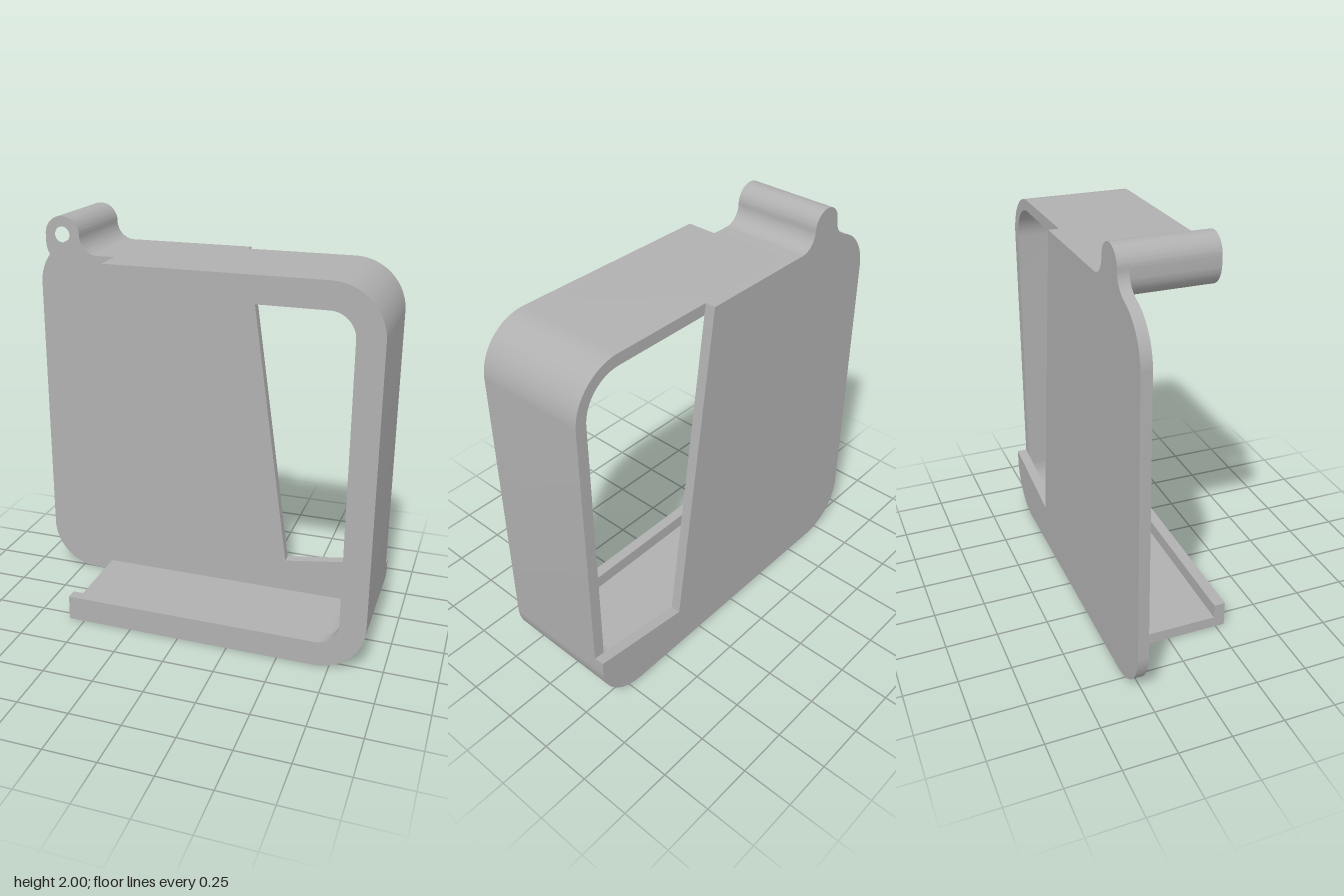
import * as THREE from 'three';
import { toCreasedNormals } from 'three/addons/utils/BufferGeometryUtils.js';

const HALF = 0.915, TOP = 1.83, R = 0.24;    // outer half width, height, corner radius
const CX = HALF - R, CY = TOP - R;           // corner centres
const BACK = -0.295, PLATE = -0.245, LIP = 0.24, FRONT = 0.295;
const KX = -0.595, KY = 1.917, KR = 0.083;   // hinge knuckle centre and radius
const HINGE_END = -0.34, FLOOR_END = -0.58, WALL = 0.055, LIP_WIDTH = 0.125;
const PI = Math.PI;

// Knuckle crown and the fillet running down to the top wall
function traceKnuckle(s) {
  s.absarc(KX, KY, KR, PI, 0, true);
  s.absarc(KX + KR + 0.087, KY, 0.087, PI, 1.5 * PI, false);
}

// C-shaped band, open on the left, with inner edge offset by t
function bandShape(t) {
  const s = new THREE.Shape();
  s.moveTo(HINGE_END, TOP);
  s.lineTo(CX, TOP);
  s.absarc(CX, CY, R, PI / 2, 0, true);
  s.absarc(CX, R, R, 0, -PI / 2, true);
  s.lineTo(FLOOR_END, 0);
  s.lineTo(FLOOR_END, t);
  s.lineTo(CX, t);
  s.absarc(CX, R, R - t, -PI / 2, 0, false);
  s.absarc(CX, CY, R - t, 0, PI / 2, false);
  s.lineTo(HINGE_END, TOP - t);
  s.closePath();
  return s;
}

// Back plate with slanted cut-away and the knuckle outline
function plateShape() {
  const s = new THREE.Shape();
  s.moveTo(-CX, 0);
  s.absarc(-CX, R, R, 1.5 * PI, PI, true);
  s.lineTo(-HALF, CY);
  s.absarc(-CX, CY, R, PI, PI * 0.611, true);
  s.quadraticCurveTo(KX - KR, 1.845, KX - KR, KY);
  traceKnuckle(s);
  s.lineTo(0.17, TOP);
  s.lineTo(0.4, 0.225);
  s.lineTo(HALF, 0.3);
  s.lineTo(HALF, R);
  s.absarc(CX, R, R, 0, -PI / 2, true);
  s.closePath();
  return s;
}

// Hinge arm with a blind pin hole
function hingeShape() {
  const s = new THREE.Shape();
  s.moveTo(KX - KR, KY);
  traceKnuckle(s);
  s.lineTo(HINGE_END, TOP);
  s.lineTo(HINGE_END, TOP - WALL);
  s.lineTo(-0.573, TOP - WALL);
  s.absarc(-0.573, TOP - WALL + 0.105, 0.105, 1.5 * PI, PI, true);
  s.closePath();
  const hole = new THREE.Path();
  hole.absarc(KX, KY, 0.036, 0, 2 * PI, true);
  s.holes.push(hole);
  return s;
}

export function createModel() {
  const group = new THREE.Group();
  group.name = 'hingedCase';
  const grey = new THREE.MeshStandardMaterial({ color: 0xb0b0b0 });
  grey.name = 'grey';

  const add = (name, shape, z0, z1) => {
    const geo = new THREE.ExtrudeGeometry(shape, { depth: z1 - z0, bevelEnabled: false, curveSegments: 20 });
    geo.translate(0, 0, z0);
    const mesh = new THREE.Mesh(toCreasedNormals(geo, 0.5), grey);
    mesh.name = name;
    group.add(mesh);
  };

  add('backPlate', plateShape(), BACK, PLATE);
  add('sideWall', bandShape(WALL), PLATE, LIP);
  add('frontLip', bandShape(LIP_WIDTH), LIP, FRONT);
  add('hingeKnuckle', hingeShape(), PLATE, 0.145);
  return group;
}
